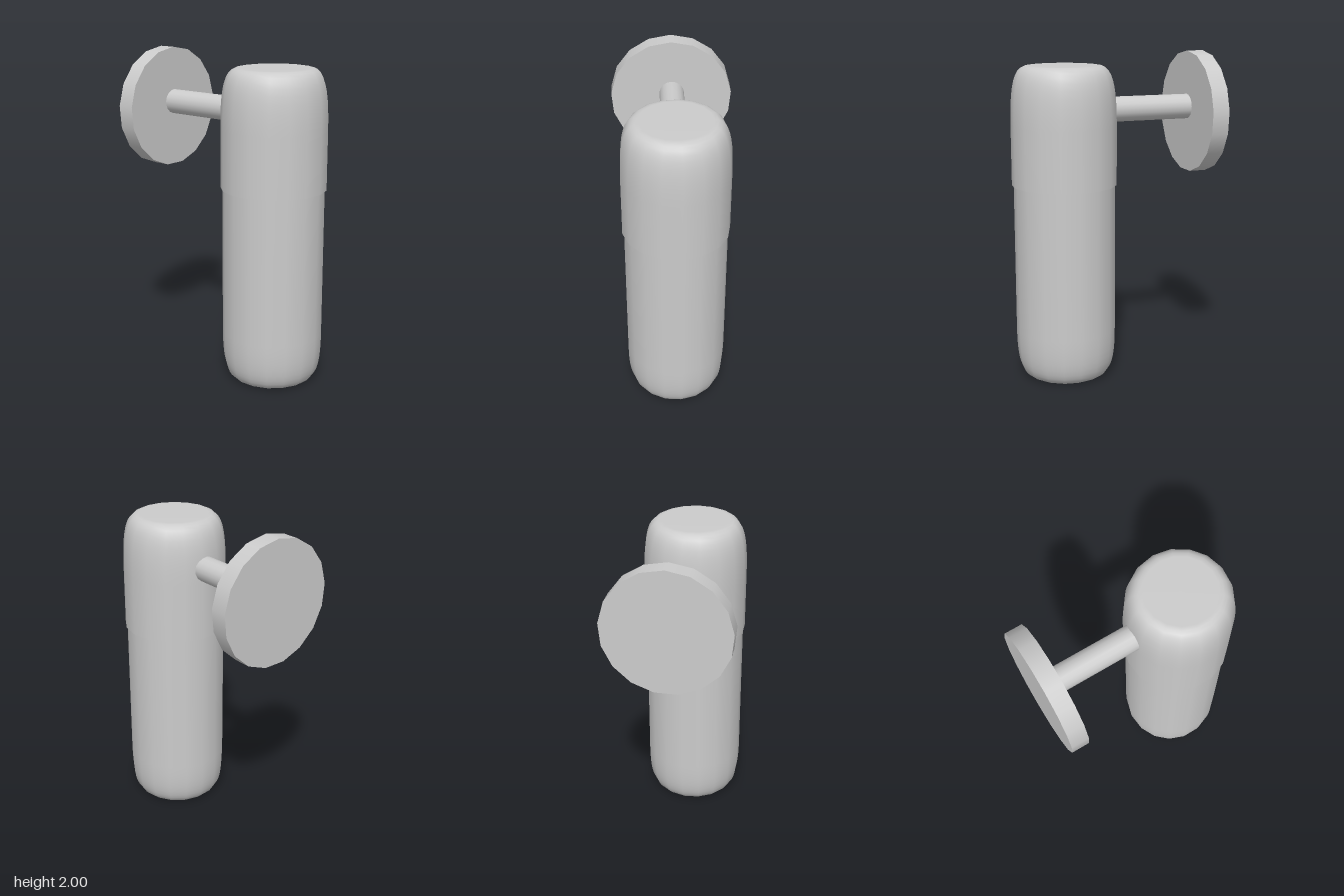
import * as THREE from 'three';

const SIDES = 17;
const BODY_Z = 0.3;

export function createModel() {
  const model = new THREE.Group();
  model.name = 'wallLamp';
  const grey = new THREE.MeshStandardMaterial({ color: 0xcccccc });

  const add = (name, geometry, x, y, z) => {
    const mesh = new THREE.Mesh(geometry, grey);
    mesh.name = name;
    mesh.position.set(x, y, z);
    model.add(mesh);
    return mesh;
  };

  // Soft rounded edge running from a flat end disc up to the straight wall
  const roundedEnd = (flat, radius, height) => [
    new THREE.Vector2(0, 0),
    ...new THREE.CubicBezierCurve(
      new THREE.Vector2(flat, 0),
      new THREE.Vector2(radius * 0.93, 0),
      new THREE.Vector2(radius, height * 0.33),
      new THREE.Vector2(radius, height)
    ).getPoints(10),
  ];
  const lathe = (points) => new THREE.LatheGeometry(points, SIDES, Math.PI / 2);

  // Lower body, its open end tucked inside the cap
  add('body', lathe([...roundedEnd(0.21, 0.309, 0.3), new THREE.Vector2(0.309, 1.25)]), 0, 0, BODY_Z);

  // Upper cap: the same profile turned over, slightly wider
  const capHeight = 0.72;
  const capProfile = [...roundedEnd(0.21, 0.32, 0.36), new THREE.Vector2(0.32, capHeight)]
    .map((p) => new THREE.Vector2(p.x, capHeight - p.y))
    .reverse();
  add('cap', lathe(capProfile), 0, 1.21, BODY_Z);

  // Underside of the cap's overhang
  add('capRim', new THREE.RingGeometry(0.3, 0.32, SIDES).rotateX(Math.PI / 2), 0, 1.21, BODY_Z);

  // Arm and wall plate, both lying along z with a corner at the top
  const rod = (radius, length) =>
    new THREE.CylinderGeometry(radius, radius, length, SIDES).rotateX(-Math.PI / 2);
  add('arm', rod(0.077, 0.57), 0.003, 1.655, -0.235);
  add('wallPlate', rod(0.378, 0.107), 0, 1.622, -0.5665);

  return model;
}
